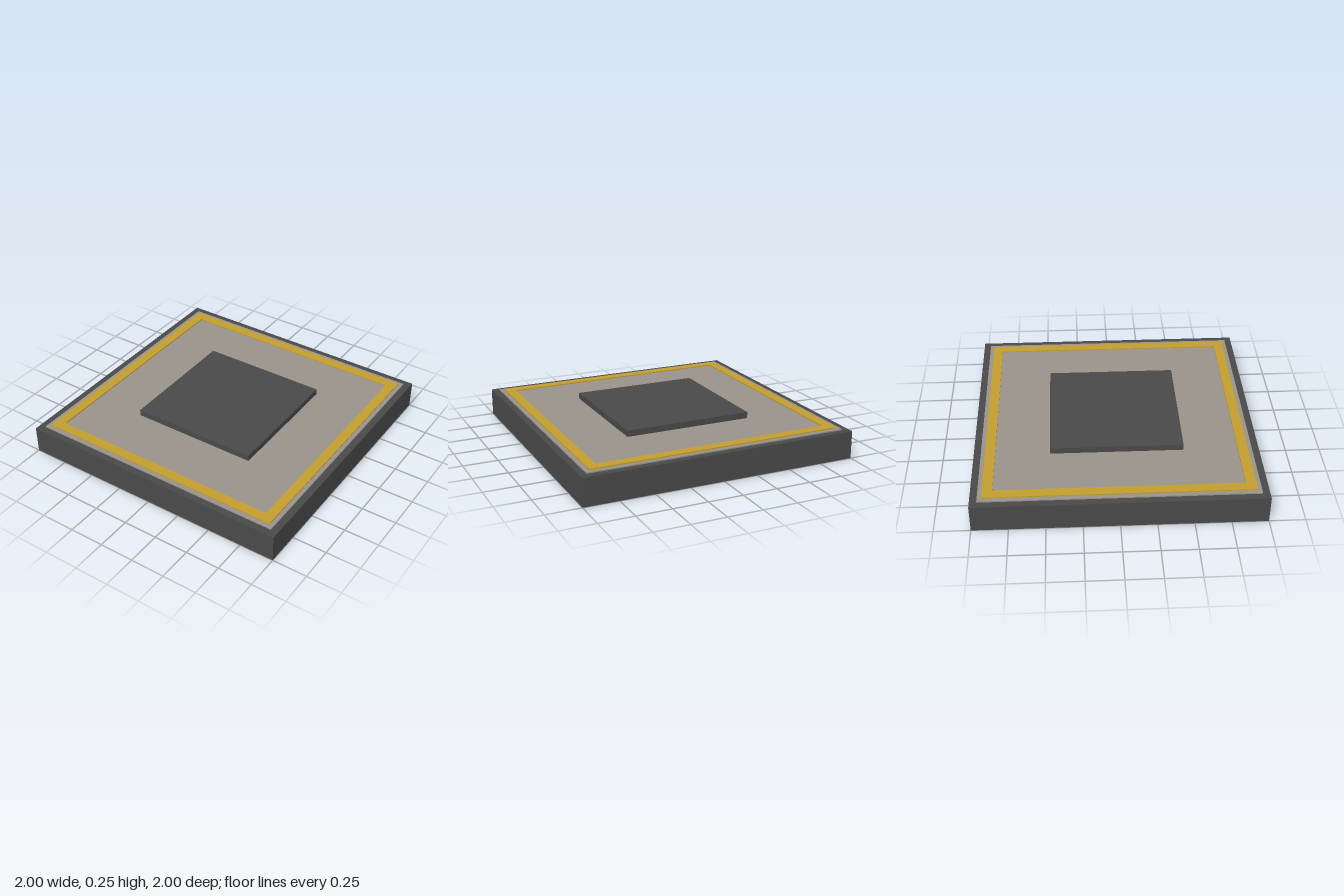
import * as THREE from 'three';

export function createModel() {
  const model = new THREE.Group();
  const material = (name, color) => {
    const m = new THREE.MeshStandardMaterial({ color });
    m.name = name;
    return m;
  };
  const darkGrey = material('dark grey', 0x4a4a4a);
  const stone = material('warm grey', 0x9a948c);
  const yellow = material('safety yellow', 0xc4a02f);

  // Box resting on height y
  const slab = (name, mat, w, h, d, y, x = 0, z = 0) => {
    const mesh = new THREE.Mesh(new THREE.BoxGeometry(w, h, d), mat);
    mesh.name = name;
    mesh.position.set(x, y + h / 2, z);
    model.add(mesh);
  };

  slab('base', darkGrey, 2, 0.2, 2, 0);
  slab('deck', stone, 1.9, 0.008, 1.9, 0.2);
  slab('centrePad', darkGrey, 0.934, 0.045, 0.934, 0.208);

  // Border stripes: full length front and back, fitted between them at the sides
  const outer = 0.92, inner = 0.85;
  const width = outer - inner, middle = (outer + inner) / 2;
  for (const s of [1, -1]) {
    slab(s > 0 ? 'frontStripe' : 'backStripe', yellow, outer * 2, 0.008, width, 0.208, 0, s * middle);
    slab(s > 0 ? 'leftStripe' : 'rightStripe', yellow, width, 0.008, inner * 2, 0.208, s * middle, 0);
  }
  return model;
}
